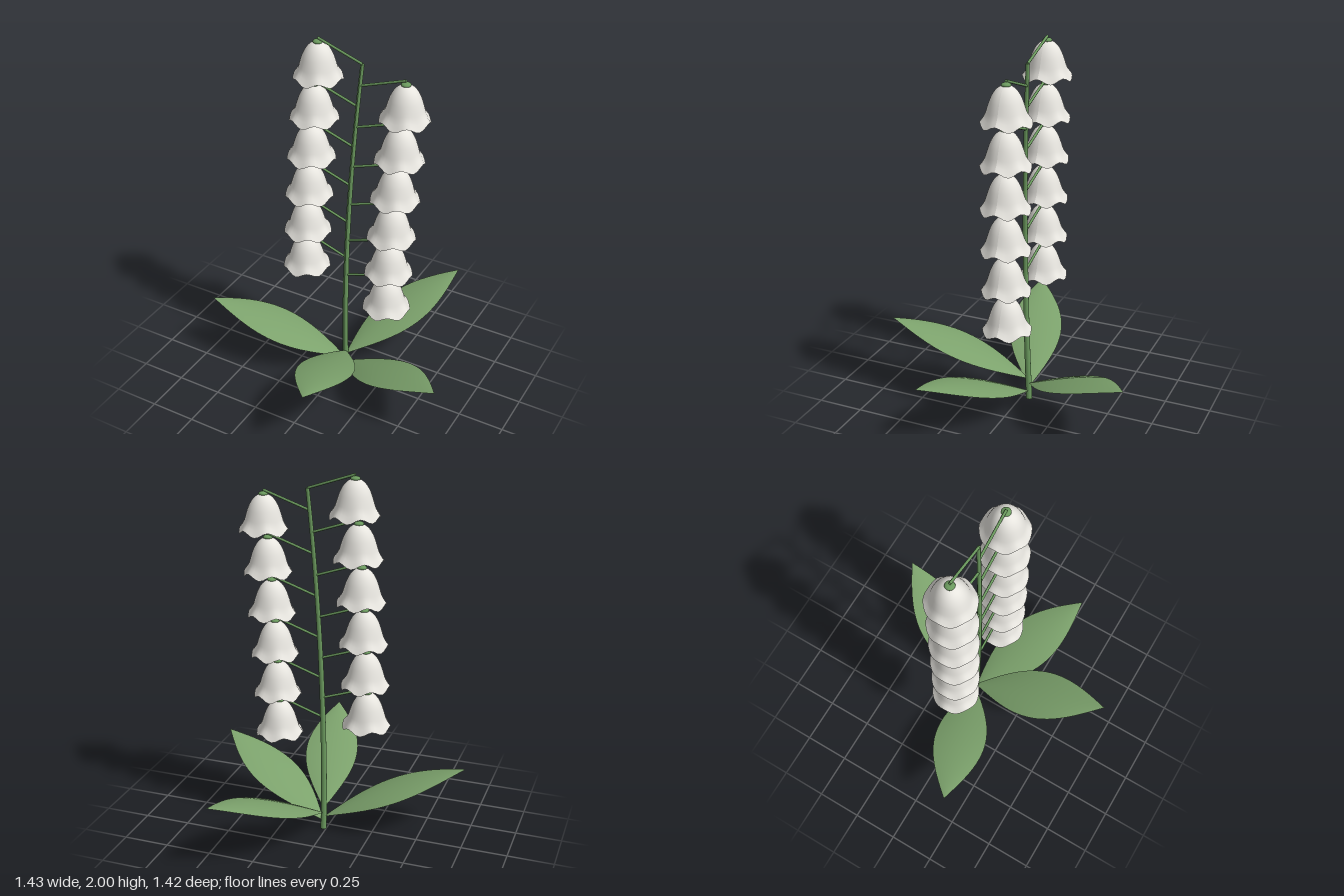
import * as THREE from 'three';

const mat = (name, color, side = THREE.FrontSide) => {
  const m = new THREE.MeshStandardMaterial({ color, side });
  m.name = name;
  return m;
};

const STEM_HEIGHT = 1.91;
// Centre of the gently bowed stem at height y
const stemAt = (y) => new THREE.Vector3(0.016 + 0.0203 * y * y, y, -0.045 + 0.045 * y - 0.029 * y * y);

function stemGeometry() {
  const g = new THREE.CylinderGeometry(0.01, 0.017, STEM_HEIGHT, 12, 24);
  g.translate(0, STEM_HEIGHT / 2, 0);
  const p = g.attributes.position;
  for (let i = 0; i < p.count; i++) {
    const c = stemAt(p.getY(i));
    p.setX(i, p.getX(i) + c.x);
    p.setZ(i, p.getZ(i) + c.z);
  }
  g.computeVertexNormals();
  return g;
}

// Bell with six soft lobes along a flared hem; origin at the stalk's end
function bellGeometry() {
  const profile = new THREE.SplineCurve([
    [0.128, -0.207], [0.104, -0.168], [0.09, -0.125], [0.076, -0.085],
    [0.056, -0.05], [0.03, -0.027], [0.001, -0.02],
  ].map(([r, y]) => new THREE.Vector2(r, y)));
  const g = new THREE.LatheGeometry(profile.getPoints(16), 36, Math.PI / 2);
  const p = g.attributes.position;
  for (let i = 0; i < p.count; i++) {
    const wave = Math.cos(6 * Math.atan2(p.getX(i), p.getZ(i)));
    const low = Math.max(0, (-p.getY(i) - 0.08) / 0.127);
    p.setY(i, p.getY(i) - 0.013 * wave * low * low);
  }
  g.computeVertexNormals();
  return g;
}

// Pointed leaf running along +x, arching upward and slightly domed across
function leafGeometry() {
  const g = new THREE.PlaneGeometry(1, 2, 24, 10);
  g.rotateX(-Math.PI / 2);
  const p = g.attributes.position;
  for (let i = 0; i < p.count; i++) {
    const t = p.getX(i) + 0.5;
    const u = p.getZ(i);
    const s = Math.sin(Math.PI * t);
    p.setXYZ(i, 0.77 * t, 0.305 * (1.5 * t - 0.5 * t * t) - 0.02 * u * u * s, 0.148 * s * u);
  }
  g.computeVertexNormals();
  return g;
}

// Straight thin rod between two points
function rod(a, b, radius, material) {
  const d = b.clone().sub(a);
  const m = new THREE.Mesh(new THREE.CylinderGeometry(radius, radius, d.length(), 8), material);
  m.position.copy(a).add(b).multiplyScalar(0.5);
  m.quaternion.setFromUnitVectors(new THREE.Vector3(0, 1, 0), d.normalize());
  return m;
}

export function createModel() {
  const model = new THREE.Group();
  model.name = 'bellFlowerPlant';
  const stemGreen = mat('stemGreen', 0x6b9a5e);
  const leafGreen = mat('leafGreen', 0x7ca26c, THREE.DoubleSide);
  const petalWhite = mat('petalWhite', 0xe8e6e0, THREE.DoubleSide);
  const pollenYellow = mat('pollenYellow', 0xd9ad3c);

  const add = (parent, name, mesh) => {
    mesh.name = name;
    parent.add(mesh);
    return mesh;
  };

  add(model, 'stem', new THREE.Mesh(stemGeometry(), stemGreen));

  // Leaves spiral up the base by the golden angle
  const leafGeo = leafGeometry();
  for (let i = 0; i < 4; i++) {
    const leaf = add(model, 'leaf', new THREE.Mesh(leafGeo, leafGreen));
    leaf.position.set(0.016, 0.045 + 0.025 * i, -0.045);
    leaf.rotation.y = -THREE.MathUtils.degToRad(25 + 137.5 * i);
  }

  // Flowers alternate right and left up the stem
  const bellGeo = bellGeometry();
  const capGeo = new THREE.SphereGeometry(0.025, 16, 10).scale(1, 0.5, 1);
  const pollenGeo = new THREE.SphereGeometry(0.017, 12, 8);
  for (let i = 0; i < 12; i++) {
    const root = stemAt(0.665 + 0.1132 * i);
    const side = i % 2 ? -1 : 1;
    const tip = root.clone().add(new THREE.Vector3(0.248 * side, 0.085, 0));
    add(model, 'flowerStalk', rod(root, tip, 0.007, stemGreen));

    const flower = new THREE.Group();
    flower.name = 'flower';
    flower.position.copy(tip);
    add(flower, 'bell', new THREE.Mesh(bellGeo, petalWhite));
    add(flower, 'cap', new THREE.Mesh(capGeo, stemGreen)).position.y = -0.02;
    add(flower, 'pollenBead', new THREE.Mesh(pollenGeo, pollenYellow)).position.y = -0.135;
    model.add(flower);
  }
  return model;
}
